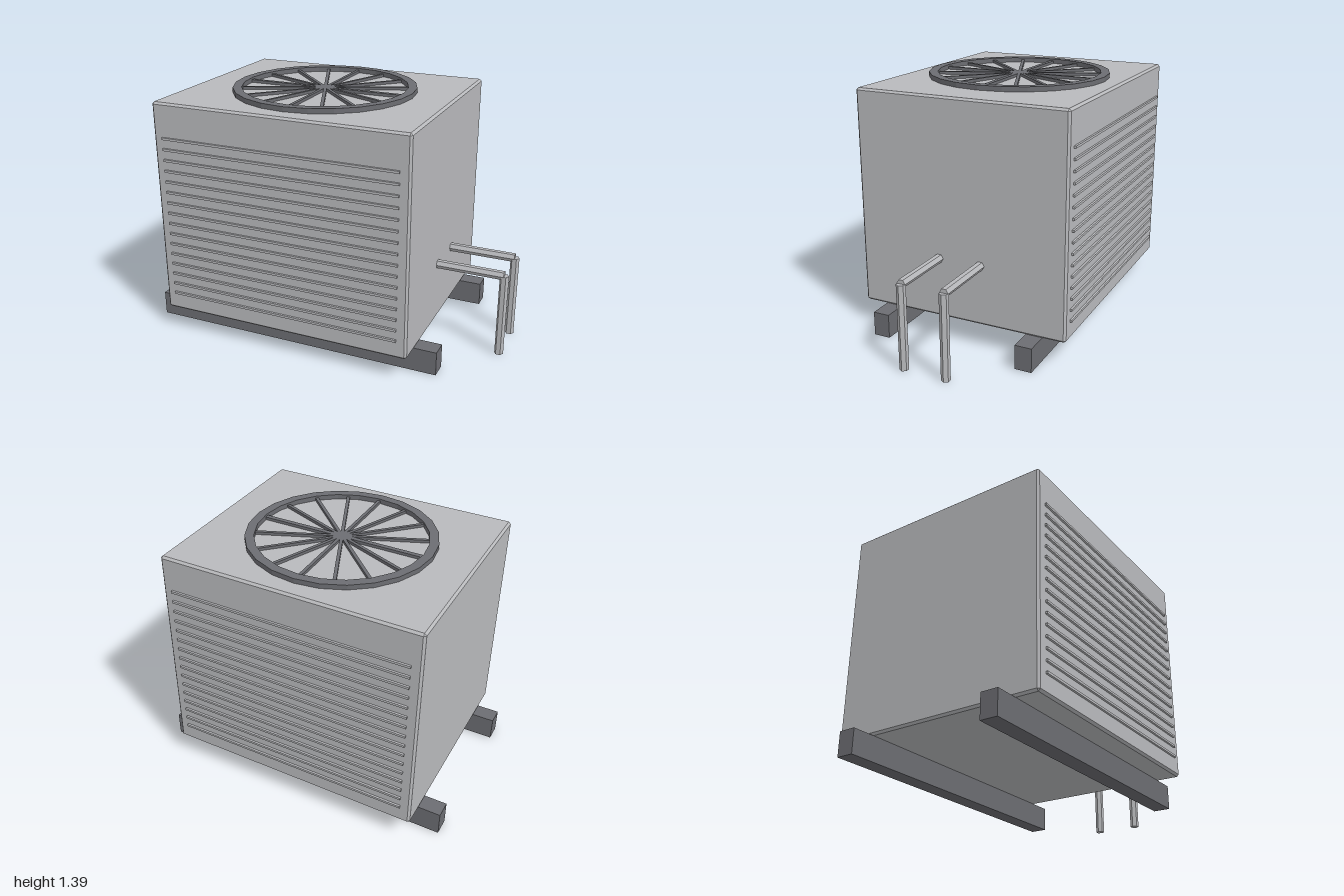
import * as THREE from 'three';
import { ConvexGeometry } from 'three/addons/geometries/ConvexGeometry.js';

const material = (name, color) => {
  const m = new THREE.MeshStandardMaterial({ color });
  m.name = name;
  return m;
};

// Box with small flat chamfers along every edge
function chamferedBox(w, h, d, c) {
  const pts = [];
  for (const sx of [-1, 1]) for (const sy of [-1, 1]) for (const sz of [-1, 1]) {
    for (let axis = 0; axis < 3; axis++) {
      const inset = [c, c, c];
      inset[axis] = 0;
      pts.push(new THREE.Vector3(
        sx * (w / 2 - inset[0]), sy * (h / 2 - inset[1]), sz * (d / 2 - inset[2])));
    }
  }
  return new ConvexGeometry(pts);
}

export function createModel() {
  const model = new THREE.Group();
  model.name = 'outdoorCondenserUnit';
  const casing = material('light grey casing', 0xb9babd);
  const dark = material('dark grey metal', 0x6c6d72);
  const CX = -0.139;

  const add = (name, geometry, mat, x, y, z, parent = model) => {
    const mesh = new THREE.Mesh(geometry, mat);
    mesh.name = name;
    mesh.position.set(x, y, z);
    parent.add(mesh);
    return mesh;
  };

  // Casing
  add('casing', chamferedBox(1.474, 1.23, 1.232, 0.012), casing, CX, 0.752, 0);

  // Horizontal louvres on front and back
  const louvre = new THREE.BoxGeometry(1.36, 0.013, 0.025);
  for (const side of [-1, 1]) {
    const bank = new THREE.Group();
    bank.name = side > 0 ? 'frontLouvres' : 'backLouvres';
    model.add(bank);
    for (let i = 0; i < 16; i++) {
      add('louvre', louvre, casing, CX, 0.243 + i * 0.0618, side * 0.615, bank);
    }
  }

  // Support rails
  const rail = new THREE.BoxGeometry(1.722, 0.137, 0.096);
  for (const side of [-1, 1]) {
    add(side > 0 ? 'frontRail' : 'backRail', rail, dark, -0.139, 0.0685, side * 0.434);
  }

  // Fan guard: 24-sided ring with rectangular section
  const guard = new THREE.Group();
  guard.name = 'fanGuard';
  guard.position.set(CX, 1.366, 0);
  model.add(guard);
  const polygon = (r, Type) => {
    const path = new Type();
    for (let i = 0; i <= 24; i++) {
      const a = (i / 24) * Math.PI * 2;
      const x = r * Math.cos(a), y = r * Math.sin(a);
      if (i === 0) path.moveTo(x, y);
      else path.lineTo(x, y);
    }
    return path;
  };
  const ringShape = polygon(0.517, THREE.Shape);
  ringShape.holes.push(polygon(0.467, THREE.Path));
  const ringGeometry = new THREE.ExtrudeGeometry(ringShape, { depth: 0.03, bevelEnabled: false });
  ringGeometry.rotateX(-Math.PI / 2);
  add('guardRing', ringGeometry, dark, 0, -0.002, 0, guard);

  // Guard bars through the centre; the one along x is wider
  for (let i = 0; i < 8; i++) {
    const bar = new THREE.BoxGeometry(0.95, 0.018, i === 0 ? 0.026 : 0.018);
    add('guardBar', bar, dark, 0, 0.008, 0, guard).rotation.y = (i * Math.PI) / 8;
  }

  // Two hexagonal pipes leaving the left side and dropping to the ground
  const R = 0.025, pipeY = 0.48, pipeX = 0.975, startX = 0.58;
  const runGeometry = new THREE.CylinderGeometry(R, R, pipeX - startX, 6).toNonIndexed();
  runGeometry.rotateZ(Math.PI / 2);
  runGeometry.computeVertexNormals();
  const dropGeometry = new THREE.CylinderGeometry(R, R, pipeY, 6).toNonIndexed();
  dropGeometry.rotateY(Math.PI / 2);
  dropGeometry.computeVertexNormals();
  for (const side of [-1, 1]) {
    const pipe = new THREE.Group();
    pipe.name = side > 0 ? 'frontPipe' : 'backPipe';
    model.add(pipe);
    add('pipeRun', runGeometry, casing, (startX + pipeX) / 2, pipeY, side * 0.124, pipe);
    add('pipeDrop', dropGeometry, casing, pipeX, pipeY / 2, side * 0.124, pipe);
  }

  return model;
}
